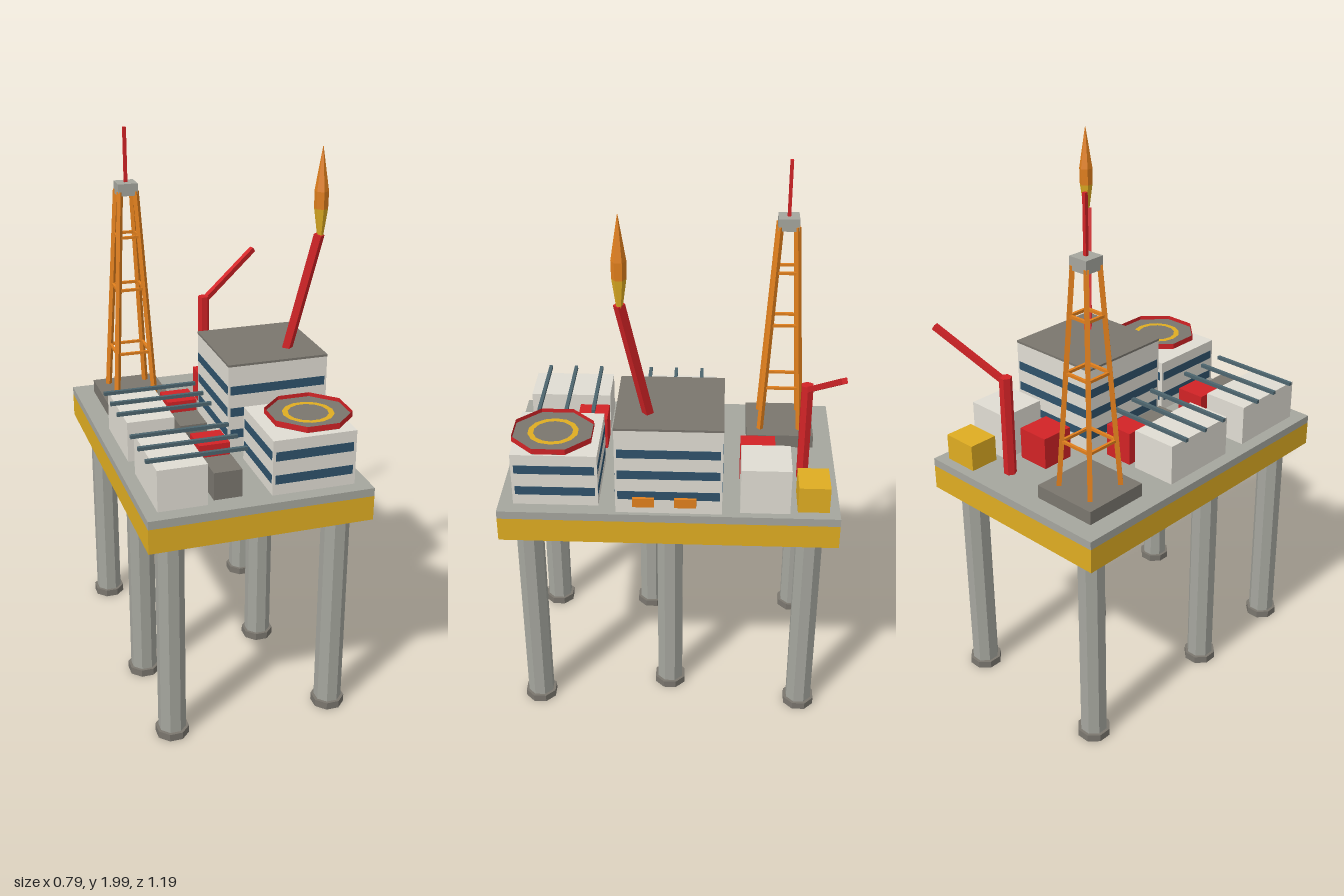
import * as THREE from 'three';

const mat = (name, color, side = THREE.FrontSide) => {
  const m = new THREE.MeshStandardMaterial({ color, side });
  m.name = name;
  return m;
};

export function createModel() {
  const yellow = mat('yellow', 0xdfad22), steel = mat('steel grey', 0xa5a69e);
  const dark = mat('dark grey', 0x7a766e, THREE.DoubleSide), white = mat('off white', 0xe0ddd3);
  const red = mat('red', 0xd22326, THREE.DoubleSide), orange = mat('orange', 0xe2801d);
  const blue = mat('window blue', 0x2f526b), teal = mat('pipe teal', 0x4d656e);

  const root = new THREE.Group();
  root.name = 'offshorePlatform';

  const add = (name, geometry, material, parent = root) => {
    const mesh = new THREE.Mesh(geometry, material);
    mesh.name = name;
    parent.add(mesh);
    return mesh;
  };
  // Box given by its low and high limits on each axis
  const box = (name, material, x0, x1, y0, y1, z0, z1, parent) => {
    const m = add(name, new THREE.BoxGeometry(x1 - x0, y1 - y0, z1 - z0), material, parent);
    m.position.set((x0 + x1) / 2, (y0 + y1) / 2, (z0 + z1) / 2);
    return m;
  };
  // Faceted cylinder
  const facets = (rTop, rBottom, height, sides, turn, open) => {
    const g = new THREE.CylinderGeometry(rTop, rBottom, height, sides, 1, open).rotateY(turn).toNonIndexed();
    g.computeVertexNormals();
    return g;
  };
  // Upright prism
  const prism = (name, material, rTop, rBottom, sides, x, y0, y1, z, turn = 0, open = false, parent = root) => {
    const m = add(name, facets(rTop, rBottom, y1 - y0, sides, turn, open), material, parent);
    m.position.set(x, (y0 + y1) / 2, z);
  };
  // Square bar between two points, with its sides kept level
  const up = new THREE.Vector3(0, 1, 0);
  const bar = (name, material, a, b, r, parent = root) => {
    const p = new THREE.Vector3(...a), q = new THREE.Vector3(...b);
    const g = facets(r, r, p.distanceTo(q), 4, Math.PI / 4, false).rotateX(Math.PI / 2);
    const m = add(name, g, material, parent);
    m.quaternion.setFromRotationMatrix(new THREE.Matrix4().lookAt(q, p, up));
    m.position.copy(p).lerp(q, 0.5);
  };

  // Six support legs standing in wider open collars
  const legs = [[-0.3, 0.5], [0.3, 0.5], [-0.3, -0.5], [0.3, -0.5], [0.2, 0], [-0.3, 0.1]];
  for (const [x, z] of legs) {
    prism('leg', steel, 0.05, 0.05, 8, x, 0.015, 0.885, z, Math.PI / 8);
    prism('foot', dark, 0.061, 0.061, 8, x, 0, 0.028, z, Math.PI / 8, true);
    const cap = add('footTop', new THREE.RingGeometry(0.048, 0.061, 8, 1, Math.PI / 8).rotateX(-Math.PI / 2), dark);
    cap.position.set(x, 0.028, z);
  }

  // Deck plate on a hull slab with deep girders beneath
  const W = 0.397, D = 0.597;
  box('deckPlate', steel, -W, W, 0.89, 0.92, -D, D);
  box('hullSlab', yellow, -W + 0.005, W - 0.005, 0.88, 0.89, -D + 0.005, D - 0.005);
  for (const s of [-1, 1]) {
    const x = s * (W - 0.01), z = s * (D - 0.01);
    box('sideGirder', yellow, x - 0.01, x + 0.01, 0.8, 0.89, -D, D);
    box('endGirder', yellow, -W + 0.02, W - 0.02, 0.8, 0.89, z - 0.01, z + 0.01);
    box('crossGirder', yellow, -W + 0.02, W - 0.02, 0.8, 0.88, s * 0.2 - 0.015, s * 0.2 + 0.015);
  }
  box('longGirder', yellow, -0.015, 0.015, 0.8, 0.88, -D + 0.02, D - 0.02);

  // House with window bands on all four walls
  const house = (name, x0, x1, top, z0, z1, bands, inset) => {
    const g = new THREE.Group();
    g.name = name;
    root.add(g);
    box('walls', white, x0, x1, 0.92, top, z0, z1, g);
    const t = 0.001;
    for (const y of bands) {
      for (const x of [x0, x1]) box('windowBand', blue, x - t, x + t, y, y + 0.033, z0 + inset, z1 - inset, g);
      for (const z of [z0, z1]) box('windowBand', blue, x0 + inset, x1 - inset, y, y + 0.033, z - t, z + t, g);
    }
    return g;
  };
  const quarters = house('livingQuarters', 0.011, 0.382, 1.248, -0.187, 0.182, [0.975, 1.058, 1.141], 0.008);
  box('roof', dark, 0.01, 0.383, 1.248, 1.256, -0.188, 0.183, quarters);
  const padHouse = house('padHouse', 0.047, 0.345, 1.12, 0.245, 0.545, [0.96, 1.045], 0.01);

  // Lifeboats on the outer wall
  for (const z of [-0.06, 0.085]) box('lifeboat', orange, 0.37, 0.394, 0.95, 0.985, z - 0.038, z + 0.038);

  // Octagonal landing pad with a raised rim and a painted ring
  prism('padRim', red, 0.15, 0.15, 8, 0.222, 1.135, 1.156, 0.408, Math.PI / 8, true, padHouse);
  prism('padTop', dark, 0.149, 0.149, 8, 0.222, 1.134, 1.142, 0.408, Math.PI / 8, false, padHouse);
  const ring = add('padRing', new THREE.RingGeometry(0.07, 0.09, 14).rotateX(-Math.PI / 2), yellow, padHouse);
  ring.position.set(0.222, 1.145, 0.408);

  // Two matching equipment modules with overhead pipes
  for (const dz of [0, 0.395]) {
    const g = new THREE.Group();
    g.name = 'equipmentModule';
    g.position.z = dz;
    root.add(g);
    box('whiteUnit', white, -0.35, -0.178, 0.92, 1.07, -0.15, 0.148, g);
    box('redUnit', red, -0.15, -0.04, 0.92, 1.045, -0.15, -0.04, g);
    box('greyUnit', dark, -0.15, -0.05, 0.92, 1.02, 0, 0.123, g);
    for (const z of [-0.1, 0, 0.1]) bar('pipe', teal, [-0.375, 1.085, z], [-0.027, 1.085, z], 0.009, g);
  }

  // Storage boxes at the back
  box('redStore', red, 0.047, 0.172, 0.92, 1.04, -0.375, -0.25);
  box('whiteStore', white, 0.2, 0.37, 0.92, 1.093, -0.423, -0.25);
  box('yellowStore', yellow, 0.225, 0.357, 0.92, 1.018, -0.56, -0.45);

  // Drilling derrick: base, tapering legs, rings, cap and mast
  const derrick = new THREE.Group();
  derrick.name = 'derrick';
  derrick.position.set(-0.2, 0, -0.4);
  root.add(derrick);
  box('derrickBase', dark, -0.125, 0.125, 0.92, 0.97, -0.125, 0.125, derrick);
  const spread = y => 0.074 - (y - 0.97) / 0.79 * 0.044;
  const corners = [[1, 1], [1, -1], [-1, -1], [-1, 1]];
  corners.forEach(([sx, sz], i) => {
    const at = (a, b, y) => [a * spread(y), y, b * spread(y)];
    bar('derrickLeg', orange, at(sx, sz, 0.97), at(sx, sz, 1.76), 0.012, derrick);
    const [nx, nz] = corners[(i + 1) % 4];
    for (const y of [1.14, 1.39, 1.59]) bar('derrickBrace', orange, at(sx, sz, y), at(nx, nz, y), 0.007, derrick);
  });
  box('derrickCap', steel, -0.037, 0.037, 1.745, 1.79, -0.037, 0.037, derrick);
  box('mast', red, -0.006, 0.006, 1.79, 1.99, -0.006, 0.006, derrick);

  // Crane
  prism('cranePost', red, 0.023, 0.023, 6, 0.122, 0.92, 1.295, -0.475, Math.PI / 6);
  bar('craneBoom', red, [0.122, 1.275, -0.475], [0.362, 1.442, -0.573], 0.014);

  // Flare boom and two-tone flame
  bar('flareBoom', red, [0.268, 1.235, 0.068], [0.345, 1.69, 0.155], 0.02);
  const flame = [[0.01, 1.68], [0.024, 1.78], [0.025, 1.84], [0.001, 1.99]];
  for (let i = 0; i < 3; i++) {
    const [r0, y0] = flame[i], [r1, y1] = flame[i + 1];
    prism('flame', i ? orange : yellow, r1, r0, 6, 0.349, y0, y1, 0.153);
  }
  return root;
}
